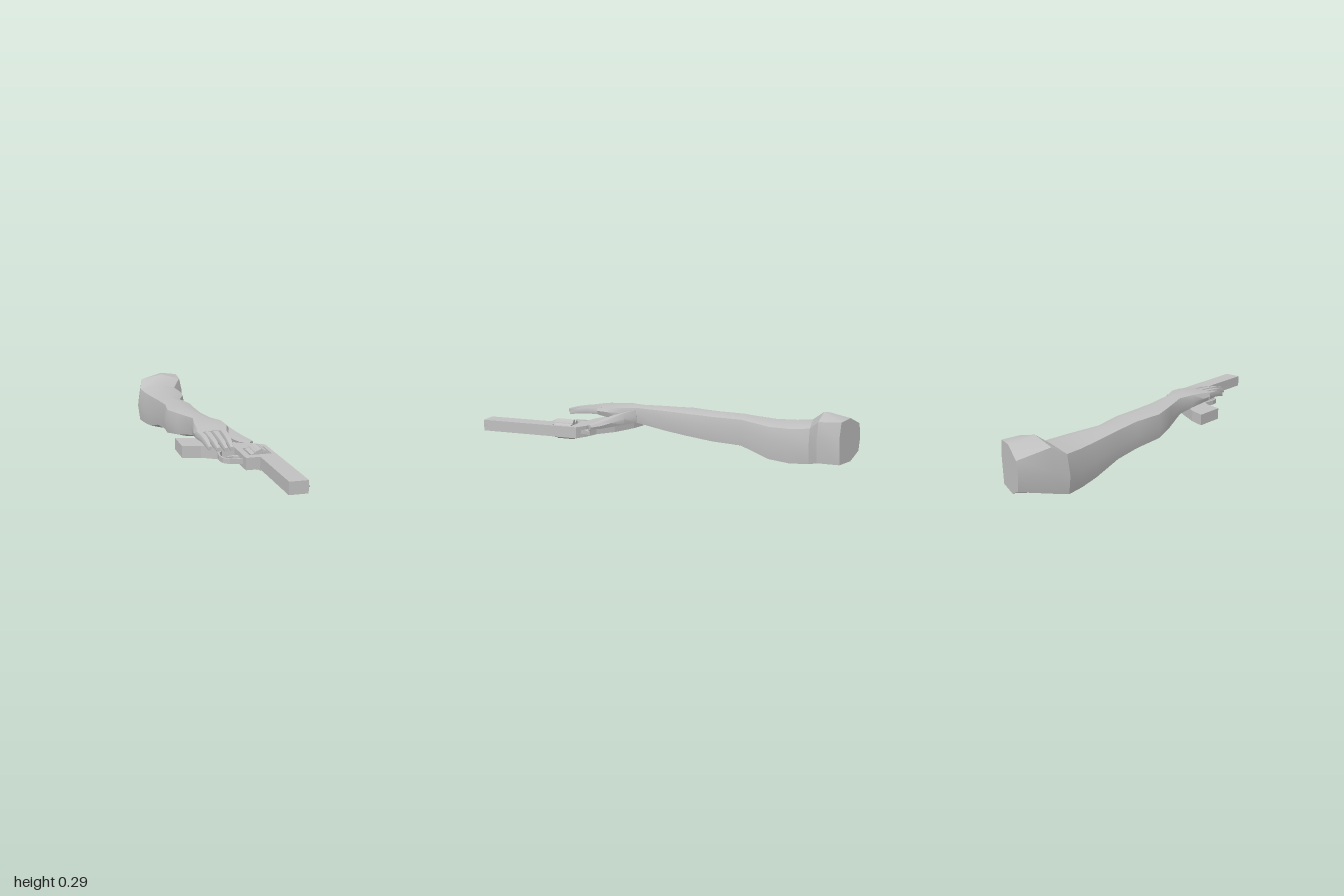
import * as THREE from 'three';
import { toCreasedNormals } from 'three/addons/utils/BufferGeometryUtils.js';

// Unit cross-sections, counter-clockwise seen from the front
const LIMB = [[1, 0.2], [0.88, 0.78], [0.05, 1], [-0.86, 0.8], [-1, -0.05], [-0.9, -0.82], [-0.15, -1], [0.88, -0.76]];
const DIGIT = [[1, 0], [0.7, 0.85], [-0.7, 0.85], [-1, 0], [-0.75, -0.9], [0.75, -0.9]];

// Skin over sections [z, xMin, xMax, yMin, yMax, slant, taper]
function loft(profile, sections, crease) {
  const n = profile.length, pos = [], idx = [];
  for (const [z, x0, x1, y0, y1, slant = 0, taper = 0] of sections) {
    for (const [u, v] of profile) {
      pos.push((x0 + x1) / 2 + u * (x1 - x0) / 2,
        (y0 + y1) / 2 + v * (1 + taper * u) * (y1 - y0) / 2,
        z + slant * u);
    }
  }
  for (let i = 0; i < sections.length - 1; i++) {
    for (let j = 0; j < n; j++) {
      const a = i * n + j, b = i * n + (j + 1) % n;
      idx.push(a, b, b + n, a, b + n, a + n);
    }
  }
  const last = (sections.length - 1) * n;
  for (let j = 1; j < n - 1; j++) {
    idx.push(0, j + 1, j, last, last + j, last + j + 1);
  }
  const g = new THREE.BufferGeometry();
  g.setAttribute('position', new THREE.Float32BufferAttribute(pos, 3));
  g.setIndex(idx);
  return toCreasedNormals(g, crease);
}

// Flat outline in (x, z), given thickness between two heights
function plate(points, yMin, yMax, hole) {
  const shape = new THREE.Shape(points.map(p => new THREE.Vector2(...p)));
  if (hole) shape.holes.push(new THREE.Path(hole.map(p => new THREE.Vector2(...p))));
  const g = new THREE.ExtrudeGeometry(shape, { depth: yMax - yMin, bevelEnabled: false });
  return g.rotateX(Math.PI / 2).translate(0, yMax, 0);
}

export function createModel() {
  const model = new THREE.Group();
  const grey = new THREE.MeshStandardMaterial({ color: 0xc0c0c0 });
  grey.name = 'plain grey';
  const add = (parent, name, geometry) => {
    const m = new THREE.Mesh(geometry, grey);
    m.name = name;
    parent.add(m);
    return m;
  };
  const group = name => {
    const g = new THREE.Group();
    g.name = name;
    model.add(g);
    return g;
  };

  // Arm: shoulder end, elbow, wrist and palm
  const arm = group('arm');
  add(arm, 'shoulderEnd', loft(LIMB, [
    [-0.96, -0.13, 0.08, 0.045, 0.275, 0.04, 0.25],
    [-0.825, -0.19, 0.08, 0.02, 0.293, 0.015],
    [-0.765, -0.21, 0.035, 0.003, 0.243],
  ], 0.5));
  add(arm, 'armAndPalm', loft(LIMB, [
    [-0.765, -0.21, 0.035, 0.003, 0.243],
    [-0.67, -0.195, 0.05, 0.003, 0.236],
    [-0.56, -0.178, 0.038, 0.015, 0.235],
    [-0.40, -0.168, -0.02, 0.065, 0.245],
    [-0.25, -0.16, 0.0, 0.08, 0.252],
    [-0.10, -0.18, -0.005, 0.1, 0.256],
    [0.02, -0.145, -0.01, 0.12, 0.26],
    [0.16, -0.1, 0.0, 0.155, 0.264],
    [0.24, -0.122, 0.04, 0.178, 0.264],
    [0.32, -0.132, 0.05, 0.19, 0.256],
    [0.395, -0.135, 0.025, 0.2, 0.246],
  ], 0.75));

  // Fingers: root x, tip x, tip z, tip height
  const hand = group('hand');
  [['littleFinger', -0.118, -0.103, 0.525, 0.196], ['ringFinger', -0.08, -0.077, 0.575, 0.203],
    ['middleFinger', -0.038, -0.045, 0.595, 0.206], ['indexFinger', 0.003, -0.01, 0.572, 0.2],
  ].forEach(([name, x0, x1, z1, y1]) => {
    const ring = (t, w, y, h) => {
      const x = x0 + (x1 - x0) * t;
      return [0.37 + (z1 - 0.37) * t, x - w, x + w, y - h, y + h];
    };
    add(hand, name, loft(DIGIT, [
      ring(0, 0.02, 0.226, 0.022),
      ring(0.45, 0.016, 0.222, 0.018),
      ring(0.75, 0.014, (0.222 + y1) / 2 + 0.003, 0.016),
      ring(1, 0.008, y1, 0.011),
    ], 0.7));
  });
  add(hand, 'thumb', loft(DIGIT, [
    [0.17, -0.04, 0.005, 0.17, 0.25],
    [0.235, -0.01, 0.062, 0.165, 0.238, -0.015],
    [0.30, 0.05, 0.1, 0.157, 0.21, -0.02],
    [0.345, 0.09, 0.133, 0.152, 0.19, -0.02],
    [0.385, 0.135, 0.16, 0.152, 0.177, -0.012],
  ], 0.7));

  // Revolver lying on its side, barrel forward, grip to the right
  const gun = group('revolver');
  add(gun, 'frameBarrelAndGrip', plate([
    [0.2, 1], [0.2, 0.44], [0.15, 0.405], [0.08, 0.375], [0, 0.3], [-0.12, 0.235], [-0.2, 0.21],
    [-0.2, 0.365], [-0.11, 0.385], [-0.03, 0.435], [0.04, 0.45], [0.04, 0.63], [0.11, 0.63], [0.11, 1],
  ], 0.11, 0.17, [[0.07, 0.475], [0.18, 0.475], [0.18, 0.59], [0.07, 0.59]]));

  // Six-sided cylinder with its chambers
  const cylinder = new THREE.CylinderGeometry(0.055, 0.055, 0.1, 6).toNonIndexed();
  cylinder.computeVertexNormals();
  cylinder.rotateX(Math.PI / 2).translate(0.13, 0.14, 0.533);
  add(gun, 'cylinder', cylinder);
  for (let i = 0; i < 6; i++) {
    const a = i * Math.PI / 3;
    add(gun, 'chamber', new THREE.CylinderGeometry(0.013, 0.013, 0.11, 12).rotateX(Math.PI / 2))
      .position.set(0.13 + 0.039 * Math.cos(a), 0.14 + 0.039 * Math.sin(a), 0.533);
  }

  // Trigger guard, trigger, hammer and front sight
  add(gun, 'triggerGuard', plate([
    [0.045, 0.585], [-0.02, 0.575], [-0.048, 0.55], [-0.055, 0.51], [-0.048, 0.46], [-0.02, 0.42], [0.045, 0.42],
  ], 0.128, 0.153, [
    [0.04, 0.575], [-0.016, 0.566], [-0.04, 0.545], [-0.046, 0.51], [-0.04, 0.465], [-0.015, 0.43], [0.04, 0.43],
  ]));
  add(gun, 'trigger', plate([[0.045, 0.53], [0.01, 0.515], [-0.03, 0.525], [0.005, 0.5], [0.045, 0.5]], 0.134, 0.147));
  add(gun, 'hammer', plate([
    [0.19, 0.45], [0.165, 0.405], [0.192, 0.372], [0.187, 0.366], [0.155, 0.392], [0.13, 0.385], [0.13, 0.45],
  ], 0.13, 0.15));
  add(gun, 'frontSight', plate([[0.198, 0.998], [0.207, 0.994], [0.198, 0.97]], 0.136, 0.144));

  return model;
}
